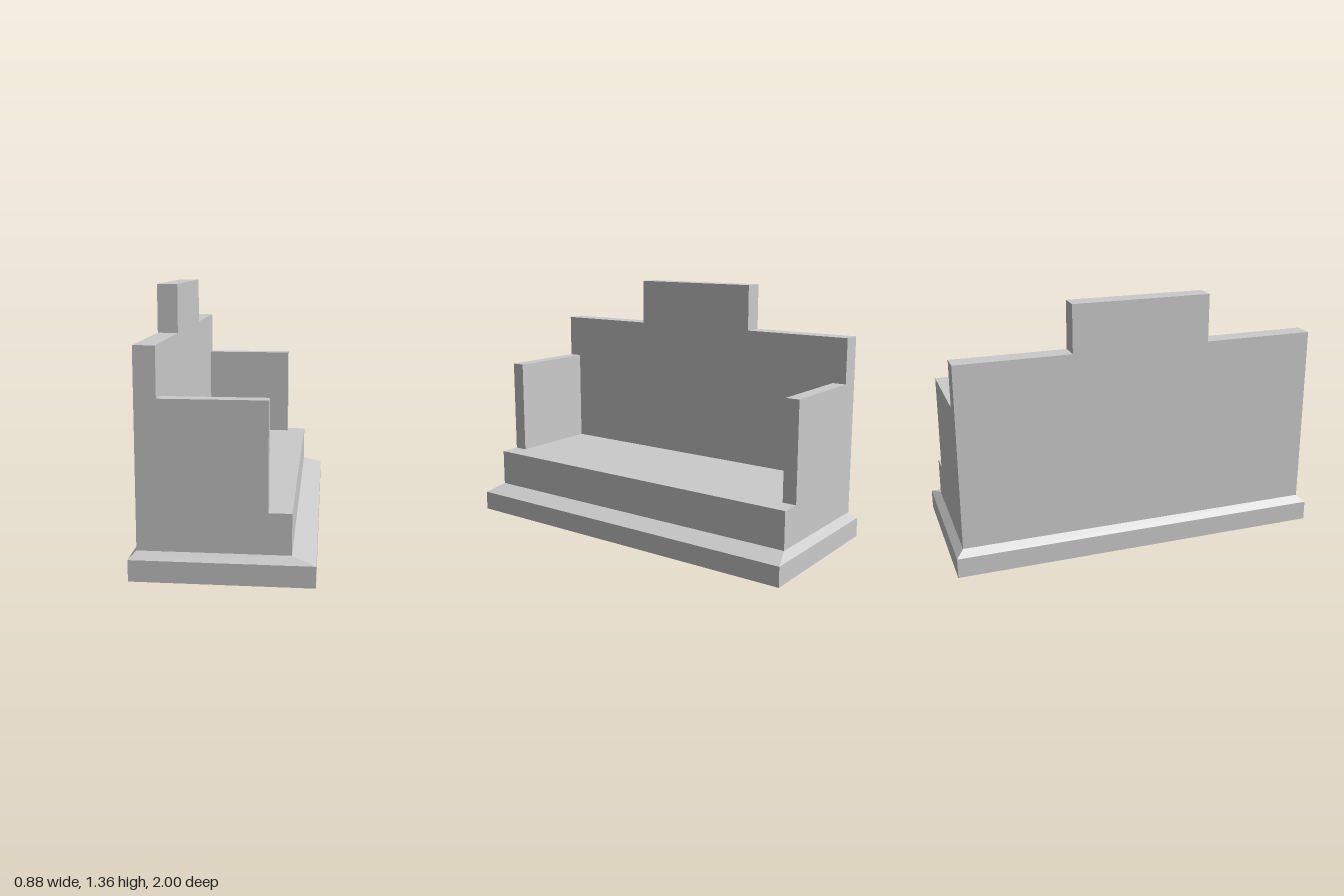
import * as THREE from 'three';

const material = new THREE.MeshStandardMaterial({ color: 0xcccccc, flatShading: true });

function addMesh(group, name, geometry) {
  const mesh = new THREE.Mesh(geometry, material);
  mesh.name = name;
  group.add(mesh);
}

// Box given by its minimum and maximum corners
function boxBetween([x0, y0, z0], [x1, y1, z1]) {
  return new THREE.BoxGeometry(x1 - x0, y1 - y0, z1 - z0)
    .translate((x0 + x1) / 2, (y0 + y1) / 2, (z0 + z1) / 2);
}

// Plinth: straight lower band, then a bevel drawn in to the seat outline
function plinthGeometry() {
  const box = new THREE.BoxGeometry(2, 2, 2, 1, 2, 1);
  const pos = box.attributes.position;
  for (let i = 0; i < pos.count; i++) {
    const level = Math.round(pos.getY(i)) + 1;
    const right = pos.getX(i) > 0;
    const top = level === 2;
    pos.setXYZ(i,
      right ? (top ? 0.325 : 0.438) : (top ? -0.403 : -0.438),
      [0, 0.105, 0.14][level],
      Math.sign(pos.getZ(i)) * (top ? 0.962 : 1));
  }
  const geometry = box.toNonIndexed();
  geometry.computeVertexNormals();
  return geometry;
}

// Backrest: stepped outline extruded through its thickness
function backrestGeometry() {
  const outline = [
    [-0.962, 0.34], [0.962, 0.34], [0.962, 1.105], [0.366, 1.105],
    [0.366, 1.355], [-0.366, 1.355], [-0.366, 1.105], [-0.962, 1.105],
  ];
  const shape = new THREE.Shape(outline.map(([x, y]) => new THREE.Vector2(x, y)));
  return new THREE.ExtrudeGeometry(shape, { depth: 0.105, bevelEnabled: false })
    .rotateY(Math.PI / 2)
    .translate(-0.403, 0, 0);
}

export function createModel() {
  const bench = new THREE.Group();
  bench.name = 'bench';

  addMesh(bench, 'plinth', plinthGeometry());
  addMesh(bench, 'seat', boxBetween([-0.403, 0.14, -0.962], [0.325, 0.34, 0.962]));
  addMesh(bench, 'backrest', backrestGeometry());

  // Armrest panels at both ends
  addMesh(bench, 'armrestFront', boxBetween([-0.298, 0.34, 0.888], [0.215, 0.863, 0.962]));
  addMesh(bench, 'armrestRear', boxBetween([-0.298, 0.34, -0.962], [0.215, 0.863, -0.888]));

  return bench;
}
